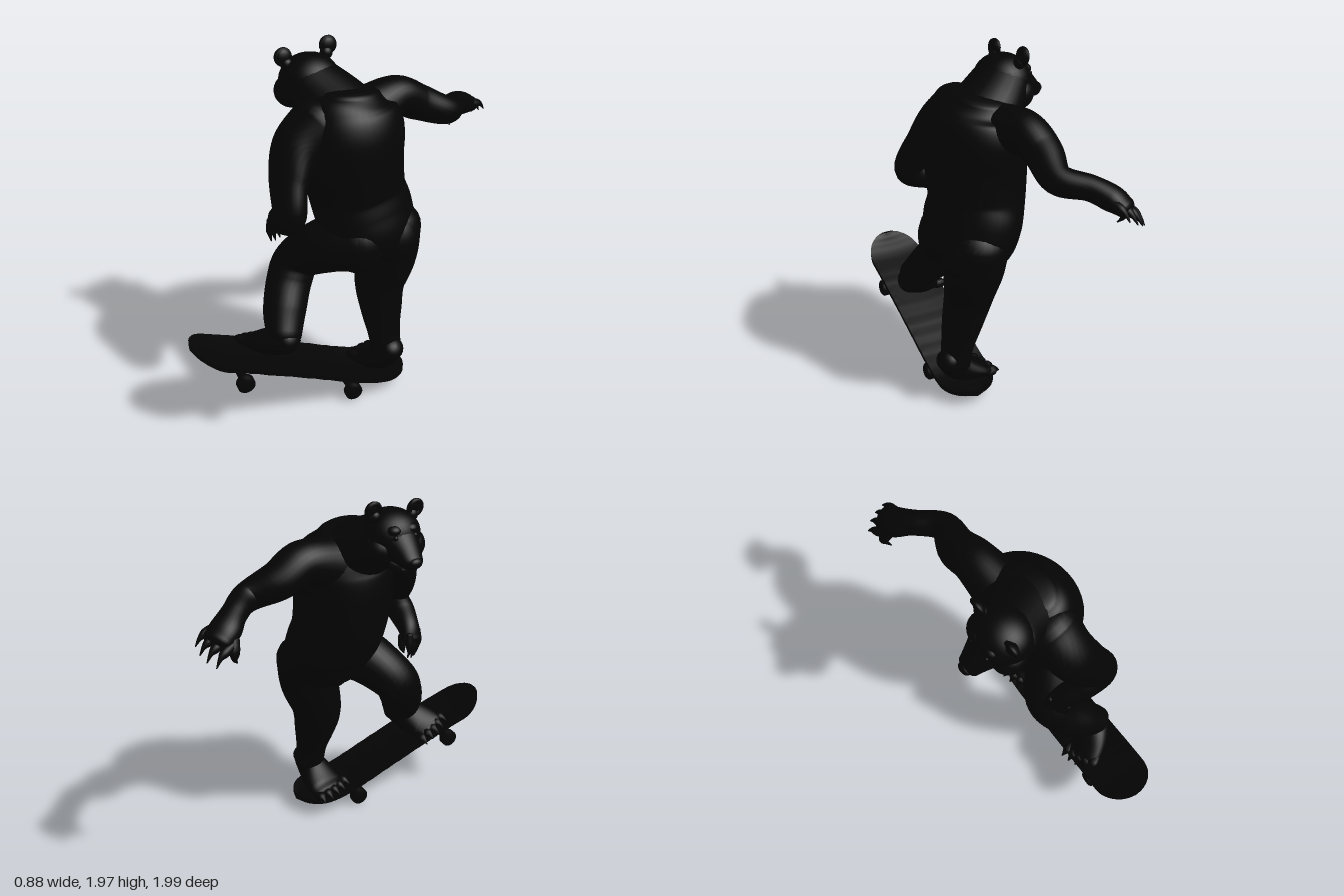
import * as THREE from 'three';

const material = new THREE.MeshStandardMaterial({ color: 0x040404 });
const V = (x, y, z) => new THREE.Vector3(x, y, z);

function add(parent, name, geometry, pos = [0, 0, 0], scale = [1, 1, 1]) {
  const mesh = new THREE.Mesh(geometry, material);
  mesh.name = name;
  mesh.position.set(...pos);
  mesh.scale.set(...scale);
  parent.add(mesh);
  return mesh;
}

const ball = (parent, name, pos, radii) =>
  add(parent, name, new THREE.SphereGeometry(1, 28, 20), pos, radii);

// Smooth tapering body through sections [x, y, z, radius along ref, other radius],
// closed at both ends by domes of height cap * radius.
function loft(sections, { ref = V(0, 0, 1), cap = 0.8, sides = 28, steps = 8 } = {}) {
  const path = new THREE.CatmullRomCurve3(sections.map(s => V(s[0], s[1], s[2])), false, 'catmullrom');
  const radii = new THREE.CatmullRomCurve3(sections.map(s => V(s[3], s[4] ?? s[3], 0)), false, 'catmullrom');
  const rings = [];
  const ring = (t, offset, k) => {
    const r = radii.getPoint(t), dir = path.getTangent(t);
    const c = path.getPoint(t).addScaledVector(dir, offset * Math.min(r.x, r.y));
    rings.push({ c, dir, a: r.x * k, b: r.y * k });
  };
  const n = (sections.length - 1) * steps, dome = 6;
  for (let i = 0; i < dome; i++) {
    const q = (1 - i / dome) * Math.PI / 2;
    ring(0, -cap * Math.sin(q), Math.max(Math.cos(q), 0.001));
  }
  for (let i = 0; i <= n; i++) ring(i / n, 0, 1);
  for (let i = 1; i <= dome; i++) {
    const q = i / dome * Math.PI / 2;
    ring(1, cap * Math.sin(q), Math.max(Math.cos(q), 0.001));
  }
  const pos = [], index = [];
  rings.forEach(({ c, dir, a, b }, i) => {
    const side = ref.clone().addScaledVector(dir, -ref.dot(dir)).normalize();
    const up = dir.clone().cross(side);
    for (let j = 0; j < sides; j++) {
      const w = j / sides * Math.PI * 2;
      const p = c.clone().addScaledVector(side, a * Math.cos(w)).addScaledVector(up, b * Math.sin(w));
      pos.push(p.x, p.y, p.z);
      if (i === rings.length - 1) continue;
      const k = (j + 1) % sides, p0 = i * sides, p1 = p0 + sides;
      index.push(p0 + j, p0 + k, p1 + k, p0 + j, p1 + k, p1 + j);
    }
  });
  const g = new THREE.BufferGeometry();
  g.setAttribute('position', new THREE.Float32BufferAttribute(pos, 3));
  g.setIndex(index);
  g.computeVertexNormals();
  return g;
}

// A row of toes or fingers, each ending in a hooked claw.
function digits(parent, name, root, across, dir, down, r, count = 5) {
  const ref = across.clone().normalize();
  for (let i = 0; i < count; i++) {
    const k = i / (count - 1) * 2 - 1;
    const at = (f, d) => root.clone().addScaledVector(across, k * (1 + 0.15 * f))
      .addScaledVector(dir, f - 0.2 * k * k).addScaledVector(down, d).toArray();
    add(parent, name, loft([
      [...at(-0.3, 0), r], [...at(0.35, 0.1), r], [...at(0.7, 0.35), r * 0.5], [...at(1, 1), r * 0.12],
    ], { ref, sides: 10, steps: 4 }));
  }
}

function makeBody() {
  const body = new THREE.Group();
  body.name = 'bear';
  add(body, 'torso', loft([
    [0.22, 0.87, 0.01, 0.18, 0.15], [0.20, 0.96, 0.0, 0.265, 0.21], [0.15, 1.08, 0.0, 0.288, 0.23],
    [0.10, 1.2, 0.01, 0.272, 0.25], [0.08, 1.4, 0.03, 0.285, 0.262], [0.085, 1.56, 0.03, 0.295, 0.245],
    [0.07, 1.68, 0.03, 0.25, 0.2], [0.065, 1.75, 0.02, 0.17, 0.13],
  ], { cap: 0.25, sides: 40 }));
  add(body, 'neck', loft([
    [0.1, 1.58, 0.04, 0.23, 0.19], [-0.05, 1.67, 0.05, 0.2, 0.165], [-0.18, 1.75, 0.07, 0.17, 0.14],
  ], { cap: 0.5 }));
  ball(body, 'rightButtock', [0.275, 0.94, -0.08], [0.152, 0.18, 0.15]);
  ball(body, 'leftButtock', [0.22, 0.97, 0.13], [0.155, 0.17, 0.15]);

  // Raised right arm and hand
  add(body, 'rightArm', loft([
    [0.05, 1.58, -0.1, 0.15, 0.17], [0.08, 1.65, -0.29, 0.12, 0.11], [0.115, 1.585, -0.43, 0.108, 0.1],
    [0.2, 1.515, -0.58, 0.078, 0.08], [0.14, 1.49, -0.73, 0.068, 0.066],
    [0.1, 1.45, -0.83, 0.082, 0.066], [0.09, 1.42, -0.9, 0.077, 0.05],
  ], { ref: V(1, 0.35, 0) }));
  digits(body, 'rightFinger', V(0.09, 1.415, -0.9), V(0.062, 0.032, 0), V(0, -0.02, -0.095), V(0, -0.045, 0), 0.025, 4);
  add(body, 'rightThumb', loft([
    [0.04, 1.41, -0.84, 0.032], [0.015, 1.36, -0.86, 0.028], [0.02, 1.32, -0.855, 0.014], [0.03, 1.29, -0.83, 0.003],
  ], { ref: V(1, 0, 0), sides: 10, steps: 4 }));

  // Lowered left arm and hand
  add(body, 'leftArm', loft([
    [0.01, 1.61, 0.21, 0.16, 0.16], [-0.01, 1.52, 0.345, 0.122, 0.14], [0.03, 1.38, 0.435, 0.09, 0.125],
    [0.095, 1.23, 0.495, 0.08, 0.095], [0.0, 1.16, 0.455, 0.078, 0.078],
    [-0.09, 1.11, 0.4, 0.066, 0.06], [-0.135, 1.05, 0.38, 0.07, 0.042],
  ]));
  digits(body, 'leftFinger', V(-0.145, 1.04, 0.385), V(0.01, 0, 0.05), V(-0.02, -0.09, -0.01), V(0.02, -0.01, 0), 0.022, 4);
  add(body, 'leftThumb', loft([
    [-0.09, 1.06, 0.35, 0.026], [-0.1, 1.01, 0.335, 0.022], [-0.11, 0.97, 0.34, 0.004],
  ], { sides: 10, steps: 4 }));

  // Standing right leg, foot on the tail of the board
  add(body, 'rightLeg', loft([
    [0.235, 1.0, -0.11, 0.17, 0.17], [0.24, 0.84, -0.085, 0.16, 0.172], [0.23, 0.66, -0.04, 0.133, 0.15],
    [0.265, 0.5, -0.02, 0.118, 0.115], [0.3, 0.36, -0.01, 0.1, 0.082], [0.32, 0.25, -0.01, 0.09, 0.08],
  ]));
  add(body, 'rightFoot', loft([
    [0.375, 0.28, 0.0, 0.07, 0.065], [0.29, 0.195, 0.0, 0.1, 0.08], [0.19, 0.145, -0.02, 0.12, 0.055],
    [0.14, 0.135, -0.025, 0.115, 0.035],
  ]));
  digits(body, 'rightToe', V(0.13, 0.135, -0.025), V(0, 0.01, 0.095), V(-0.06, 0, 0), V(0, -0.02, 0), 0.028);

  // Bent left leg, foot on the rising deck
  add(body, 'leftLeg', loft([
    [0.22, 0.98, 0.12, 0.16, 0.17], [0.09, 0.94, 0.21, 0.16, 0.155], [-0.07, 0.82, 0.29, 0.14, 0.125],
    [-0.075, 0.71, 0.36, 0.13, 0.12], [-0.01, 0.58, 0.46, 0.12, 0.115], [0.06, 0.49, 0.53, 0.1, 0.09],
  ]));
  add(body, 'leftFoot', loft([
    [0.095, 0.47, 0.53, 0.078, 0.075], [0.0, 0.43, 0.565, 0.105, 0.08], [-0.09, 0.4, 0.585, 0.11, 0.055],
    [-0.14, 0.385, 0.585, 0.1, 0.035],
  ], { ref: V(0, 0.4, 0.92) }));
  digits(body, 'leftToe', V(-0.14, 0.39, 0.585), V(0, 0.035, 0.085), V(-0.065, 0, 0), V(0, -0.02, 0), 0.027);
  return body;
}

// Head in its own frame: the muzzle points to -x
function makeHead() {
  const head = new THREE.Group();
  head.name = 'head';
  ball(head, 'skull', [0, 0, 0], [0.155, 0.138, 0.165]);
  add(head, 'muzzle', loft([
    [-0.06, -0.02, 0, 0.13, 0.115], [-0.14, -0.06, 0, 0.09, 0.075], [-0.2, -0.095, 0, 0.065, 0.045],
  ]));
  add(head, 'lowerJaw', loft([
    [-0.03, -0.1, 0, 0.11, 0.065], [-0.11, -0.135, 0, 0.07, 0.035], [-0.165, -0.145, 0, 0.048, 0.022],
  ]));
  ball(head, 'nose', [-0.23, -0.095, 0], [0.024, 0.028, 0.04]);
  for (const s of [-1, 1]) {
    ball(head, 'cheek', [-0.03, -0.06, s * 0.09], [0.095, 0.09, 0.095]);
    ball(head, 'brow', [-0.1, 0.05, s * 0.05], [0.045, 0.032, 0.045]);
    ball(head, 'eye', [-0.138, 0.02, s * 0.06], [0.014, 0.014, 0.014]);
    // Ear: a rim around a thin cupped back, swept backward
    const ear = new THREE.Group();
    ear.name = 'ear';
    add(ear, 'earRim', new THREE.TorusGeometry(0.037, 0.014, 10, 24)).rotation.y = Math.PI / 2;
    ball(ear, 'earBack', [0.008, 0, 0], [0.018, 0.042, 0.042]);
    ball(ear, 'earRoot', [0.005, -0.04, -s * 0.015], [0.03, 0.035, 0.035]);
    ear.position.set(-0.04, 0.14 - s * 0.012, s * 0.13);
    ear.rotation.z = 0.15;
    head.add(ear);
  }
  head.position.set(-0.2, 1.77, 0.07);
  head.rotation.y = -0.3;
  return head;
}

// Skateboard in its own frame: the nose points to +z
function makeBoard() {
  const board = new THREE.Group();
  board.name = 'skateboard';
  const start = -0.17, end = 1.07, half = 0.165;
  const profile = new THREE.CatmullRomCurve3([
    V(0, 0.07, start), V(0, 0.09, 0.05), V(0, 0.13, 0.18), V(0, 0.26, 0.5),
    V(0, 0.385, 0.82), V(0, 0.425, 0.93), V(0, 0.505, end),
  ]);
  const heights = profile.getPoints(200);
  const deck = new THREE.BoxGeometry(2, 0.026, 1, 10, 1, 70);
  const p = deck.attributes.position;
  for (let i = 0; i < p.count; i++) {
    // Vertices crowd toward the ends so the rounded outline stays smooth
    const s = start + (end - start) * (1 - Math.cos((p.getZ(i) + 0.5) * Math.PI)) / 2;
    const d = Math.min(1, Math.min(s - start, end - s) / half);
    const width = half * Math.sqrt(Math.max(0, 1 - (1 - d) ** 2));
    const h = heights.find(q => q.z >= s - 1e-6) ?? heights[200];
    const dish = 0.012 * p.getX(i) ** 2;
    p.setXYZ(i, p.getX(i) * width, h.y + p.getY(i) + dish, s);
  }
  deck.computeVertexNormals();
  add(board, 'deck', deck);

  for (const [s, y] of [[0.185, 0.052], [0.81, 0.29]]) {
    const truck = new THREE.Group();
    truck.name = 'truck';
    truck.position.set(0, y, s);
    truck.rotation.x = -0.36;
    add(truck, 'basePlate', new THREE.BoxGeometry(0.09, 0.02, 0.13), [0, 0.068, 0]);
    add(truck, 'kingpin', new THREE.CylinderGeometry(0.025, 0.035, 0.075, 16), [0, 0.035, 0]);
    add(truck, 'axle', new THREE.CylinderGeometry(0.013, 0.013, 0.32, 12)).rotation.z = Math.PI / 2;
    add(truck, 'hanger', new THREE.CylinderGeometry(0.024, 0.024, 0.17, 12)).rotation.z = Math.PI / 2;
    for (const side of [-1, 1]) {
      const outline = [[0, -0.028], [0.038, -0.028], [0.05, -0.018], [0.05, 0.018], [0.038, 0.028], [0, 0.028]];
      const wheel = new THREE.LatheGeometry(outline.map(q => new THREE.Vector2(...q)), 24);
      add(truck, 'wheel', wheel, [side * 0.132, 0, 0]).rotation.z = Math.PI / 2;
    }
    board.add(truck);
  }
  board.position.x = 0.235;
  board.rotation.y = -0.4;
  return board;
}

export function createModel() {
  const model = new THREE.Group();
  model.name = 'skateboardingBear';
  model.add(makeBody(), makeHead(), makeBoard());
  return model;
}
